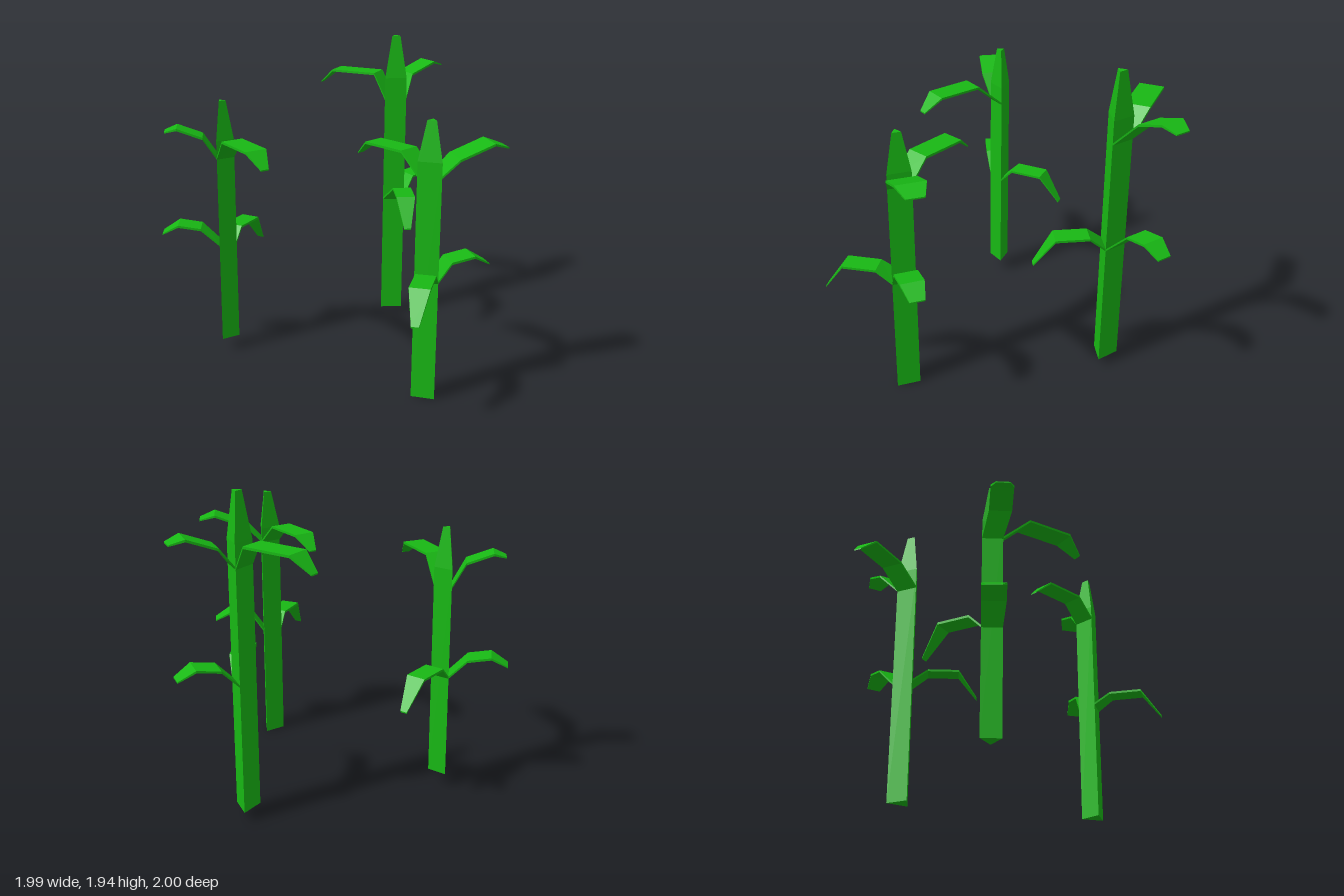
import * as THREE from 'three';

const green = new THREE.MeshStandardMaterial({ color: 0x18b814, flatShading: true });

// Closed, faceted solid through a list of equal-sized rings of [x, y, z] corners
function loft(rings, name) {
  const pos = [];
  const fan = (c) => {
    for (let i = 1; i < c.length - 1; i++) pos.push(...c[0], ...c[i], ...c[i + 1]);
  };
  for (let r = 0; r < rings.length - 1; r++) {
    const a = rings[r], b = rings[r + 1], n = a.length;
    for (let i = 0; i < n; i++) {
      const j = (i + 1) % n;
      fan([a[i], a[j], b[j], b[i]]);
    }
  }
  fan([...rings[0]].reverse());
  fan(rings[rings.length - 1]);
  const geo = new THREE.BufferGeometry();
  geo.setAttribute('position', new THREE.Float32BufferAttribute(pos, 3));
  geo.computeVertexNormals();
  const mesh = new THREE.Mesh(geo, green);
  mesh.name = name;
  return mesh;
}

// Triangular stalk with a tapered tip
function stalk({ corners, base, shoulder, top }) {
  const cx = (corners[0][0] + corners[1][0] + corners[2][0]) / 3;
  const cz = (corners[0][1] + corners[1][1] + corners[2][1]) / 3;
  const ring = (y, s) => corners.map(([x, z]) => [cx + (x - cx) * s, y, cz + (z - cz) * s]);
  return loft([ring(top, 0.38), ring(shoulder, 1), ring(base, 1)], 'stalk');
}

// Each leaf kind: stalk side it grows from, blade length and rise, tip length and drop, widths
const kinds = {
  upperArch: { side: 0, run: 0.175, rise: 0.066, tipRun: 0.085, drop: 0.03, width: 0.15, tipWidth: 0.09 },
  lowerArch: { side: 0, run: 0.14, rise: 0.023, tipRun: 0.1, drop: 0.06, width: 0.14, tipWidth: 0.09 },
  lowerDroop: { side: 1, run: 0.2, rise: 0, tipRun: 0.12, drop: 0.175, width: 0.12, tipWidth: 0.044 },
  upperDroop: { side: 2, run: 0.285, rise: 0, tipRun: 0.1, drop: 0.09, width: 0.137, tipWidth: 0.05 },
};

// Thin leaf: from a stalk side up to the elbow, then along its heading (degrees from +x to +z)
function leaf(kindName, corners, attachY, [x, y, z], heading, size = 1) {
  const k = kinds[kindName];
  const c = Math.cos(THREE.MathUtils.degToRad(heading));
  const s = Math.sin(THREE.MathUtils.degToRad(heading));
  const section = ([lx, lz], [rx, rz], h, t) =>
    [[lx, h, lz], [rx, h, rz], [rx, h - t, rz], [lx, h - t, lz]];
  const across = (d, h, width, t) => {
    const px = x + c * d * size, pz = z + s * d * size, w = (width * size) / 2;
    return section([px + s * w, pz - c * w], [px - s * w, pz + c * w], y + h * size, t);
  };
  return loft([
    section(corners[k.side], corners[(k.side + 1) % 3], attachY, 0.014),
    across(0, 0, k.width, 0.014),
    across(k.run, k.rise, k.width, 0.014),
    across(k.run + k.tipRun, k.rise - k.drop, k.tipWidth, 0.008),
  ], kindName + 'Leaf');
}

// Per plant: stalk outline and heights, leaf attachment heights, leaf elbows and headings
const plants = [
  {
    name: 'leftPlant', base: 0.09, shoulder: 1.4, top: 1.64, low: 0.74, high: 1.3,
    corners: [[-0.66, -0.08], [-0.66, -0.2], [-0.555, -0.138]],
    leaves: {
      upperArch: [[-0.74, 1.435, -0.1], 179, 0.88],
      lowerArch: [[-0.77, 0.847, -0.135], 182],
      lowerDroop: [[-0.575, 0.815, -0.237], -58.5],
      upperDroop: [[-0.56, 1.44, 0.045], 60],
    },
  },
  {
    name: 'backPlant', base: 0.06, shoulder: 1.67, top: 1.94, low: 0.86, high: 1.54,
    corners: [[0.49, -0.737], [0.56, -0.61], [0.42, -0.61]],
    leaves: {
      upperArch: [[0.58, 1.675, -0.797], -27.5],
      lowerArch: [[0.6, 0.98, -0.77], -28],
      lowerDroop: [[0.533, 0.955, -0.51], 90],
      upperDroop: [[0.392, 1.685, -0.777], 209, 1.06],
    },
  },
  {
    name: 'frontPlant', base: 0, shoulder: 1.44, top: 1.67, low: 0.745, high: 1.365,
    corners: [[0.57, 0.483], [0.6, 0.62], [0.468, 0.573]],
    leaves: {
      upperArch: [[0.68, 1.46, 0.541], -12, 1.15],
      lowerArch: [[0.662, 0.855, 0.542], -13],
      lowerDroop: [[0.515, 0.818, 0.692], 108],
      upperDroop: [[0.437, 1.48, 0.442], 229, 0.96],
    },
  },
];

export function createModel() {
  const model = new THREE.Group();
  model.name = 'cropPlants';
  for (const p of plants) {
    const plant = new THREE.Group();
    plant.name = p.name;
    plant.add(stalk(p));
    for (const [kind, args] of Object.entries(p.leaves)) {
      plant.add(leaf(kind, p.corners, kind.startsWith('upper') ? p.high : p.low, ...args));
    }
    model.add(plant);
  }
  return model;
}
